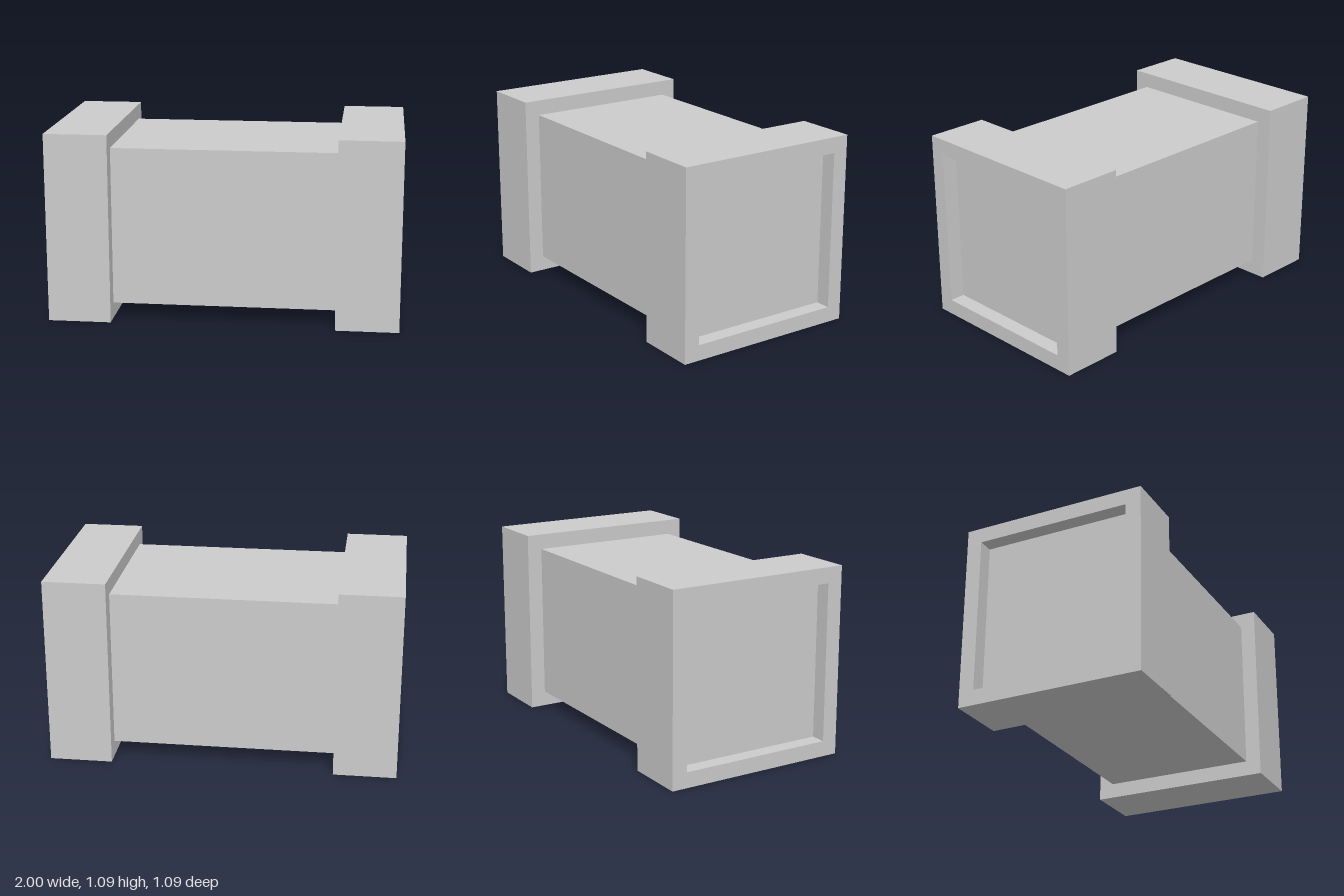
import * as THREE from 'three';

const material = new THREE.MeshStandardMaterial({ color: 0xcccccc, flatShading: true });

const CENTER_Y = 0.545; // height of the long axis
const OUTER = 0.545;    // half side of the end collars
const INNER = 0.455;    // half side of the body and collar openings
const COLLAR = 0.36;    // collar length along x
const RECESS = 0.09;    // depth of the body's end faces inside the collars

// Trace a centred square into a shape or path
function square(path, h) {
  path.moveTo(-h, -h);
  path.lineTo(h, -h);
  path.lineTo(h, h);
  path.lineTo(-h, h);
  path.closePath();
  return path;
}

export function createModel() {
  const group = new THREE.Group();

  // Square body running between the collars
  const length = 2 * (1 - RECESS);
  const body = new THREE.Mesh(new THREE.BoxGeometry(length, 2 * INNER, 2 * INNER), material);
  body.name = 'body';
  body.position.y = CENTER_Y;
  group.add(body);

  // Square open collar at each end
  const profile = square(new THREE.Shape(), OUTER);
  profile.holes.push(square(new THREE.Path(), INNER));
  const collarGeometry = new THREE.ExtrudeGeometry(profile, { depth: COLLAR, bevelEnabled: false });
  collarGeometry.translate(0, 0, -COLLAR / 2);
  collarGeometry.rotateY(Math.PI / 2);

  for (const side of [1, -1]) {
    const collar = new THREE.Mesh(collarGeometry, material);
    collar.name = side > 0 ? 'leftCollar' : 'rightCollar';
    collar.position.set(side * (1 - COLLAR / 2), CENTER_Y, 0);
    group.add(collar);
  }

  return group;
}
